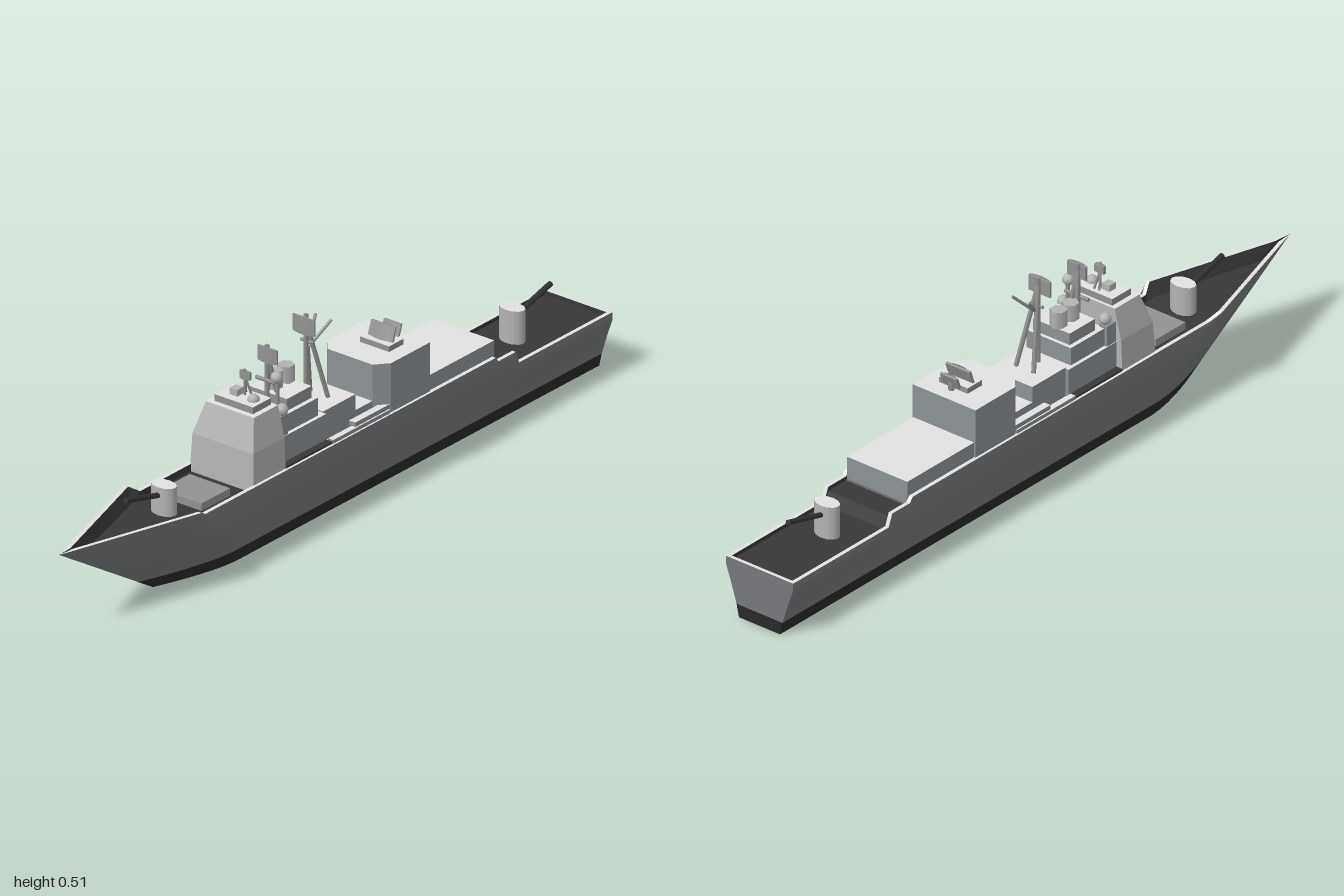
import * as THREE from 'three';

const mat = (name, color, side = THREE.FrontSide) => {
  const m = new THREE.MeshStandardMaterial({ color, side });
  m.name = name;
  return m;
};

export function createModel() {
  const ship = new THREE.Group();
  ship.name = 'warship';
  const hullGrey = mat('hull grey', 0x75787b, THREE.DoubleSide);
  const bootBlack = mat('waterline black', 0x292929, THREE.DoubleSide);
  const deckDark = mat('deck dark', 0x373737, THREE.DoubleSide);
  const light = mat('roof light grey', 0xe2e2e2, THREE.DoubleSide);
  const bridgeGrey = mat('bridge grey', 0xb3b3b3, THREE.DoubleSide);
  const houseGrey = mat('deckhouse grey', 0x8c9295);
  const mid = mat('fittings grey', 0x929292, THREE.DoubleSide);
  const gunDark = mat('barrel dark', 0x333333);

  const add = (name, geo, m, x = 0, y = 0, z = 0) => {
    const mesh = new THREE.Mesh(geo, m);
    mesh.name = name;
    mesh.position.set(x, y, z);
    ship.add(mesh);
    return mesh;
  };
  // box given by half width and y / z ranges
  const box = (name, m, hw, y0, y1, z0, z1, x = 0) =>
    add(name, new THREE.BoxGeometry(hw * 2, y1 - y0, z1 - z0), m, x, (y0 + y1) / 2, (z0 + z1) / 2);
  // box with a light roof
  const house = (name, m, ...size) => box(name, [m, m, light, m, m, m], ...size);
  const rod = (name, m, a, b, r, sides = 6) => {
    const p = new THREE.Vector3(...a), q = new THREE.Vector3(...b);
    const d = q.clone().sub(p);
    const mesh = add(name, new THREE.CylinderGeometry(r, r, d.length(), sides), m);
    mesh.position.copy(p).add(q).multiplyScalar(0.5);
    mesh.quaternion.setFromUnitVectors(new THREE.Vector3(0, 1, 0), d.normalize());
  };
  // surface through rows of points
  const grid = (name, rows, m, flat = false) => {
    const n = rows[0].length, idx = [];
    for (let i = 0; i < rows.length - 1; i++) {
      for (let j = 0; j < n - 1; j++) {
        const a = i * n + j, b = a + n;
        idx.push(a, b, b + 1, a, b + 1, a + 1);
      }
    }
    let g = new THREE.BufferGeometry();
    g.setAttribute('position', new THREE.Float32BufferAttribute(rows.flat(2), 3));
    g.setIndex(idx);
    if (flat) g = g.toNonIndexed();
    g.computeVertexNormals();
    add(name, g, m);
  };

  // hull stations: [z, height of the rim], then the bow parameter t
  const stations = [[-1, 0.157], [-0.64, 0.157], [-0.627, 0.19], [-0.56, 0.19], [-0.55, 0.203],
    [0, 0.203], [0.35, 0.203], [0.57, 0.203]].map(([z, top]) => ({ z, top, t: -1 }));
  for (const t of [0, 0.15, 0.3, 0.45, 0.6, 0.75, 0.88, 1]) stations.push({ z: 0.6, top: 0.222, t });
  const widths = [0.065, 0.073, 0.09, 0.107, 0.107, 0.107];
  const shoulder = [0.4, 0.42, 0.47, 0.54, 0.58, 0.6];
  const power = [1.5, 1.5, 1.4, 1.25, 1.1, 1];
  const hullPoint = (s, k) => {
    const y = [0, 0.035, 0.09, Math.min(0.145, s.top - 0.02), s.top - 0.012, s.top][k];
    if (s.t < 0) return [widths[k], y, s.z > 0.5 ? shoulder[k] - 0.03 : Math.min(s.z, shoulder[k] - 0.05)];
    const stem = 0.64 + 0.36 * Math.min(1, y / 0.222);
    const w = k === 5 ? 0.121 : k === 4 ? 0.113 : widths[k];
    return [w * (1 - s.t ** power[k]), y, shoulder[k] + (stem - shoulder[k]) * s.t];
  };
  const flip = ([x, y, z]) => [-x, y, z];
  const side = (levels, name, m) => {
    const rows = stations.map(s => levels.map(k => hullPoint(s, k)));
    grid(name + 'Left', rows, m);
    grid(name + 'Right', rows.map(r => r.map(flip).reverse()), m);
    const end = levels.slice().reverse().map(k => hullPoint(stations[0], k));
    grid(name + 'Transom', end.map(p => [flip(p), p]), m, true);
  };
  side([5, 4, 3, 2, 1], 'hull', hullGrey);
  side([1, 0], 'waterline', bootBlack);
  grid('keelBottom', stations.map(s => [hullPoint(s, 0), flip(hullPoint(s, 0))]), bootBlack, true);

  // rim, bulwark and sunken deck; the bow deck stays level inside the flare
  const rimInner = s => {
    const [x, y, z] = hullPoint(s, 5);
    return [Math.max(0, x - 0.011), y, s.z === -1 ? -0.99 : z];
  };
  const deckEdge = s => {
    if (s.t >= 0) return [0.092 * (1 - s.t), 0.187, 0.6 + 0.33 * s.t];
    const [x, y, z] = rimInner(s);
    return [x, y - (s.z < -0.5 ? 0.011 : 0.02), z];
  };
  const rim = stations.map(s => [rimInner(s), hullPoint(s, 5)]);
  grid('rimLeft', rim, light, true);
  grid('rimRight', rim.map(r => r.map(flip).reverse()), light, true);
  grid('sternRim', [[[-0.107, 0.157, -1], [0.107, 0.157, -1]], [[-0.096, 0.157, -0.99], [0.096, 0.157, -0.99]]]
    .map(r => r.slice().reverse()).reverse(), light, true);
  grid('deck', stations.map(s => [flip(rimInner(s)), flip(deckEdge(s)), deckEdge(s), rimInner(s)]), deckDark, true);
  box('sternBulwark', deckDark, 0.096, 0.14, 0.156, -0.995, -0.99);

  // bridge with sloping upper front and sides
  grid('bridge', [[0.1, 0.17, 0.375, 0.25], [0.095, 0.285, 0.37, 0.25], [0.075, 0.367, 0.343, 0.25]]
    .map(([w, y, f, b]) => [[-w, y, b], [-w, y, f], [w, y, f], [w, y, b], [-w, y, b]].reverse())
    .reverse(), bridgeGrey, true);
  house('bridgeRoof', bridgeGrey, 0.075, 0.36, 0.367, 0.25, 0.343);
  house('bridgeTop', mid, 0.06, 0.367, 0.385, 0.258, 0.328);
  box('foreHatch', mid, 0.063, 0.17, 0.203, 0.42, 0.53);

  // midship deckhouses
  house('midDeck', houseGrey, 0.096, 0.17, 0.2, -0.13, 0.07);
  house('forwardHouse', houseGrey, 0.08, 0.17, 0.277, 0.07, 0.25);
  house('forwardHouseUpper', houseGrey, 0.07, 0.277, 0.325, 0.09, 0.22);
  house('funnelBase', houseGrey, 0.058, 0.325, 0.357, 0.1, 0.195);
  for (const z of [0.115, 0.16]) {
    add('funnel', new THREE.CylinderGeometry(0.022, 0.022, 0.045, 6), bridgeGrey, -0.01, 0.379, z);
  }
  house('mastHouse', houseGrey, 0.07, 0.17, 0.28, -0.055, 0.07);
  house('linkHouse', houseGrey, 0.07, 0.17, 0.237, -0.13, -0.055);
  for (const s of [-1, 1]) {
    box('sideWalk', deckDark, 0.01, 0.195, 0.208, 0.07, 0.25, s * 0.09);
    house('launcherRail', houseGrey, 0.008, 0.2, 0.213, -0.15, 0.07, s * 0.094);
    house('launcher', houseGrey, 0.01, 0.213, 0.225, -0.155, -0.02, s * 0.088);
  }

  // aft deckhouse with chamfered front corners
  const plan = new THREE.Shape([[-0.07, 0.12], [-0.1, 0.155], [-0.1, 0.305], [0.1, 0.305], [0.1, 0.155], [0.07, 0.12]]
    .map(p => new THREE.Vector2(...p)));
  add('aftHouse', new THREE.ExtrudeGeometry(plan, { depth: 0.165, bevelEnabled: false }).rotateX(-Math.PI / 2),
    [light, houseGrey], 0, 0.17, 0);
  house('hangar', houseGrey, 0.096, 0.155, 0.244, -0.557, -0.305);

  // guns fore and aft
  for (const [s, z, y0, y1, by] of [[1, 0.597, 0.183, 0.262, 0.243], [-1, -0.745, 0.146, 0.235, 0.212]]) {
    add('gunTurret', new THREE.CylinderGeometry(0.036, 0.036, y1 - y0, 12).scale(1, 1, 0.68),
      [bridgeGrey, light, bridgeGrey], 0, (y0 + y1) / 2, z);
    rod('gunBarrel', gunDark, [0, by - 0.005, z + s * 0.015], [0, by + 0.03, z + s * 0.148], 0.0075);
  }

  // a legged mast
  const mast = (x, z, base, top, spread, r) => {
    rod('mastPost', mid, [x, base, z], [x, top, z], r);
    for (const s of [-1, 1]) rod('mastLeg', mid, [x + s * spread, base, z - spread * 1.8], [x, top - 0.02, z], r);
  };
  // curved radar panel on a flat back
  const panel = (x, y, z, w, h, tilt = 0) => {
    const g = new THREE.CylinderGeometry(w * 1.2, w * 1.2, h, 8, 1, true, -0.43, 0.86).translate(0, 0, -w * 1.2);
    add('radarPanel', g, mid, x, y, z).rotation.x = tilt;
    box('radarBack', mid, w * 0.48, y - h * 0.46, y + h * 0.46, z - 0.012, z - 0.005, x).rotation.x = tilt;
  };
  mast(0, 0.05, 0.28, 0.515, 0.028, 0.006);
  panel(0, 0.488, 0.066, 0.07, 0.045);
  for (const s of [-1, 1]) rod('mastArm', mid, [0, 0.42, 0.045], [s * 0.025, 0.482, -0.018], 0.004);
  rod('mastBrace', mid, [-0.02, 0.44, 0.045], [0.02, 0.44, 0.045], 0.004);
  mast(0, 0.2, 0.325, 0.488, 0.016, 0.006);
  panel(0.006, 0.465, 0.213, 0.062, 0.04);
  rod('mastCrossarm', mid, [-0.03, 0.395, 0.205], [0.045, 0.395, 0.205], 0.005);
  rod('domePost', mid, [0.045, 0.325, 0.215], [0.045, 0.41, 0.215], 0.005);
  mast(0, 0.285, 0.385, 0.455, 0.008, 0.003);
  panel(0, 0.438, 0.29, 0.032, 0.022);
  box('sensorBox', bridgeGrey, 0.012, 0.384, 0.402, 0.28, 0.305, -0.02);

  // sensor domes
  for (const [x, y, z] of [[0.045, 0.42, 0.218], [0.035, 0.386, 0.295], [0.07, 0.345, 0.228], [-0.063, 0.345, 0.228]]) {
    add('sensorDome', new THREE.SphereGeometry(0.016, 8, 6), bridgeGrey, x, y, z);
  }
  for (const s of [-1, 1]) box('domeShelf', houseGrey, 0.012, 0.277, 0.332, 0.216, 0.25, s * 0.066);

  // aft radars
  house('aftRadarBase', mid, 0.045, 0.335, 0.35, -0.255, -0.2, 0.012);
  panel(0.012, 0.367, -0.222, 0.08, 0.042, -0.35);
  rod('aftRadarPost', mid, [0.01, 0.335, -0.265], [0.01, 0.36, -0.265], 0.008);
  panel(0.01, 0.362, -0.26, 0.055, 0.035, -0.35);

  return ship;
}
